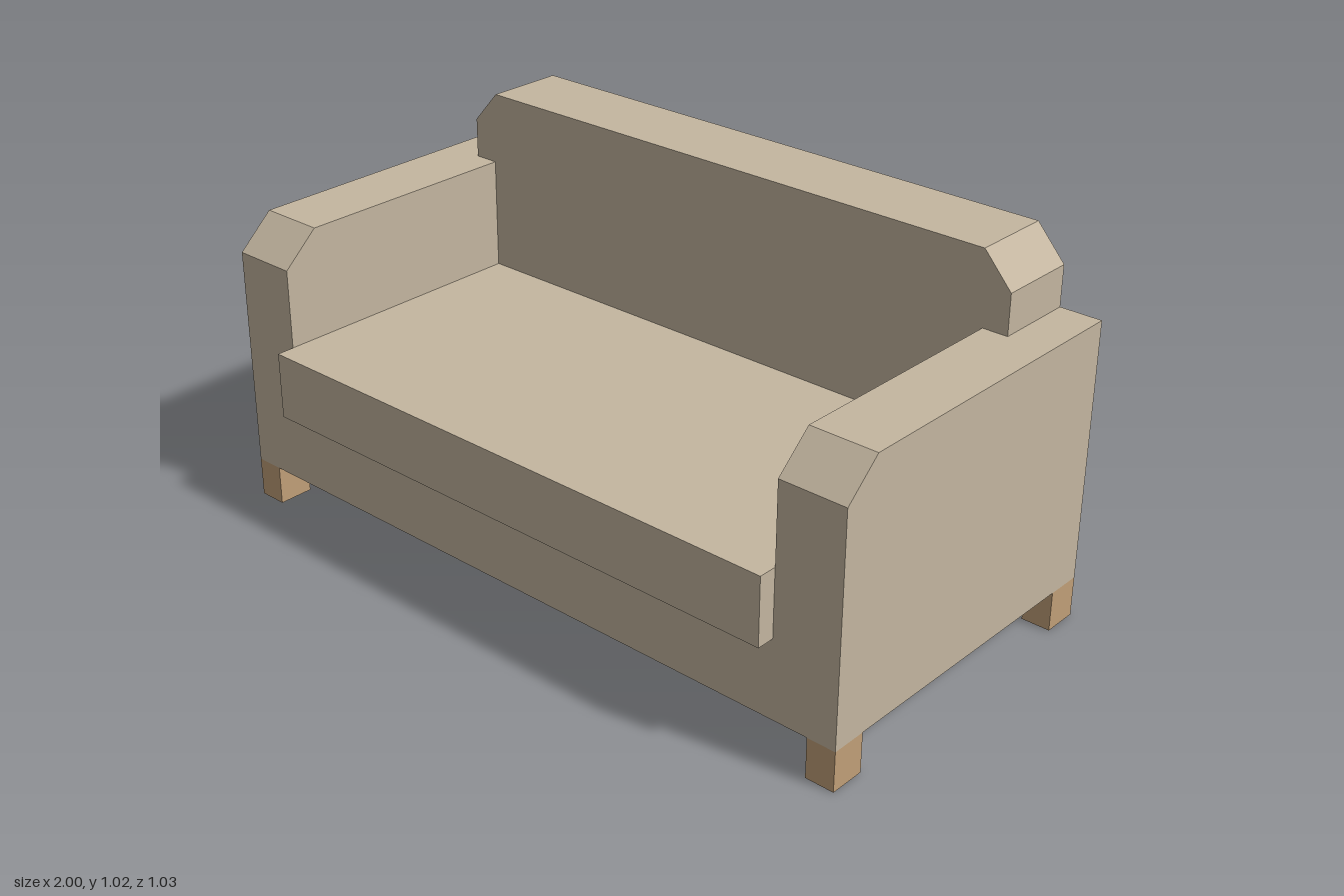
import * as THREE from 'three';

export function createModel() {
  const model = new THREE.Group();
  model.name = 'sofa';
  const fabric = new THREE.MeshStandardMaterial({ color: 0xc4b6a0 });
  fabric.name = 'beige fabric';
  const wood = new THREE.MeshStandardMaterial({ color: 0xc09f78 });
  wood.name = 'light wood';

  const BACK = -0.515, FRONT = 0.465, FLOOR = 0.11, ARM_TOP = 0.82, INNER = 0.815;

  function add(name, geometry, material) {
    const mesh = new THREE.Mesh(geometry, material);
    mesh.name = name;
    model.add(mesh);
    return mesh;
  }
  // Box given by its two opposite corners
  function box(name, material, [x0, y0, z0], [x1, y1, z1]) {
    add(name, new THREE.BoxGeometry(x1 - x0, y1 - y0, z1 - z0), material)
      .position.set((x0 + x1) / 2, (y0 + y1) / 2, (z0 + z1) / 2);
  }
  function extrude(points, depth) {
    const shape = new THREE.Shape(points.map(([x, y]) => new THREE.Vector2(x, y)));
    return new THREE.ExtrudeGeometry(shape, { depth, bevelEnabled: false });
  }

  // Base between the arms, with the seat cushion overhanging the front
  box('base', fabric, [-INNER, FLOOR, BACK], [INNER, 0.325, FRONT]);
  box('seatCushion', fabric, [-INNER, 0.325, -0.29], [INNER, 0.51, 0.515]);

  // Backrest: chamfered top corners, stepping out over the arms
  const half = [[INNER, 0.325], [INNER, ARM_TOP], [0.885, ARM_TOP], [0.885, 0.93], [0.805, 1.02]];
  const outline = [...half, ...half.map(([x, y]) => [-x, y]).reverse()];
  add('backrest', extrude(outline, 0.225), fabric).position.z = BACK;

  // Arms: side profile with a chamfered front, extruded across the width
  const armProfile = [
    [-FRONT, FLOOR], [-BACK, FLOOR], [-BACK, ARM_TOP], [-0.365, ARM_TOP], [-FRONT, 0.73],
  ];
  for (const [side, x] of [['left', INNER], ['right', -1]]) {
    const geometry = extrude(armProfile, 1 - INNER).rotateY(Math.PI / 2);
    add(side + 'Arm', geometry, fabric).position.x = x;
  }

  // Four legs flush with the outer corners
  for (const [side, x] of [['Left', 0.92], ['Right', -1]]) {
    box('front' + side + 'Leg', wood, [x, 0, FRONT - 0.1], [x + 0.08, FLOOR, FRONT]);
    box('back' + side + 'Leg', wood, [x, 0, BACK], [x + 0.08, FLOOR, BACK + 0.1]);
  }
  return model;
}
